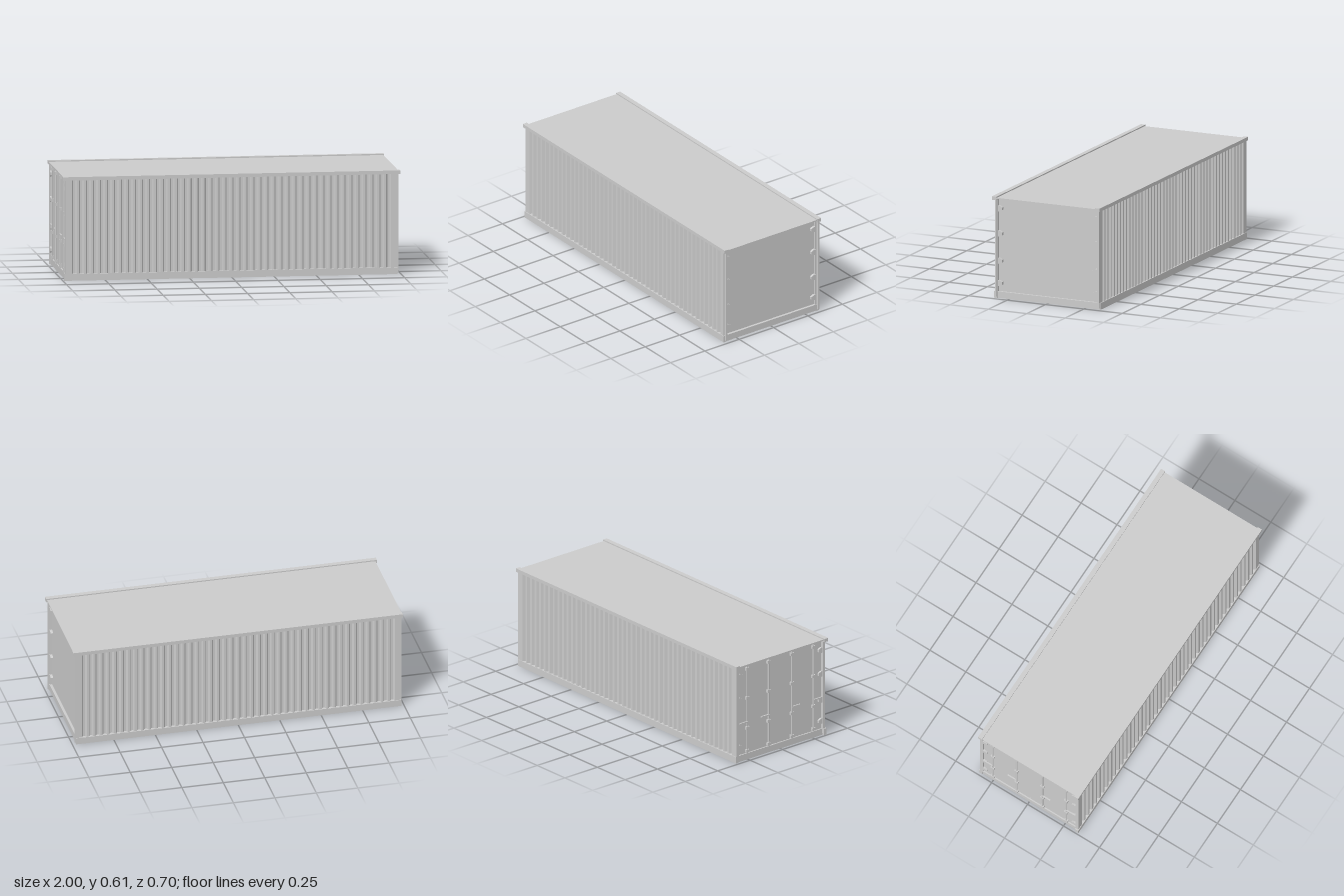
import * as THREE from 'three';

const material = new THREE.MeshStandardMaterial({ color: 0xcccccc, flatShading: true });

export function createModel() {
  const model = new THREE.Group();
  model.name = 'shippingContainer';

  const add = (name, geometry) => {
    const mesh = new THREE.Mesh(geometry, material);
    mesh.name = name;
    model.add(mesh);
    return mesh;
  };
  // Box given by its minimum and maximum along each axis
  const box = (name, x0, x1, y0, y1, z0, z1) => {
    const mesh = add(name, new THREE.BoxGeometry(x1 - x0, y1 - y0, z1 - z0));
    mesh.position.set((x0 + x1) / 2, (y0 + y1) / 2, (z0 + z1) / 2);
    return mesh;
  };

  // Floor and sills
  box('floor', -0.98, 0.975, 0.001, 0.04, -0.335, 0.335);
  box('frontBottomRail', -0.992, 0.978, 0, 0.04, 0.325, 0.347);
  box('backBottomRail', -0.985, 0.978, 0, 0.04, -0.347, -0.325);

  // Roof sheet between raised top rails
  box('roof', -0.99, 0.99, 0.6, 0.607, -0.335, 0.335);
  box('frontTopRail', -1, 0.995, 0.593, 0.614, 0.323, 0.352);
  box('backTopRail', -0.992, 0.995, 0.593, 0.614, -0.35, -0.322);

  // Corrugated side walls: a zigzag strip extruded upwards
  const ribs = 46, outer = 0.343, inner = 0.329, start = -0.95, end = 0.95;
  const pitch = (end - start) / ribs;
  for (const side of [-1, 1]) {
    const shape = new THREE.Shape();
    shape.moveTo(-0.983, side * 0.322);
    shape.lineTo(-0.983, side * outer);
    for (let i = 0; i < ribs; i++) {
      const x = start + i * pitch;
      shape.lineTo(x + pitch * 0.1, side * outer);
      shape.lineTo(x + pitch * 0.3, side * inner);
      shape.lineTo(x + pitch * 0.6, side * inner);
      shape.lineTo(x + pitch * 0.8, side * outer);
    }
    shape.lineTo(0.972, side * outer);
    shape.lineTo(0.972, side * 0.322);
    const wall = new THREE.ExtrudeGeometry(shape, { depth: 0.565, bevelEnabled: false });
    wall.rotateX(-Math.PI / 2);
    add(side < 0 ? 'frontCorrugatedWall' : 'backCorrugatedWall', wall).position.y = 0.035;
  }

  // Plain end panel, recessed behind its posts
  box('endPanel', 0.95, 0.96, 0.035, 0.602, -0.33, 0.33);
  box('frontEndPost', 0.965, 0.985, 0.01, 0.596, 0.326, 0.337);
  box('backEndPost', 0.965, 0.985, 0.01, 0.596, -0.343, -0.333);

  // Door end: two leaves, edge posts and header
  for (const side of [-1, 1]) {
    box('door', -0.972, -0.962, 0.04, 0.6, side > 0 ? 0.002 : -0.325, side > 0 ? 0.325 : -0.002);
    box('doorPost', -0.985, -0.965, 0.01, 0.596, side > 0 ? 0.323 : -0.34, side > 0 ? 0.34 : -0.323);
  }
  box('doorSeal', -0.968, -0.96, 0.04, 0.6, -0.004, 0.004);

  // Tapered hinges on both ends, pointing inwards from the posts
  const hingeShape = new THREE.Shape([
    [0, -0.017], [0.014, -0.017], [0.032, -0.008],
    [0.032, 0.008], [0.014, 0.017], [0, 0.017],
  ].map(([x, y]) => new THREE.Vector2(x, y)));
  const hingeGeometry = new THREE.ExtrudeGeometry(hingeShape, { depth: 0.016, bevelEnabled: false });
  hingeGeometry.translate(0, 0, -0.008);
  for (const x of [-0.975, 0.967]) {
    for (const y of [0.09, 0.224, 0.389, 0.54]) {
      for (const side of [-1, 1]) {
        const hinge = add('hinge', hingeGeometry);
        hinge.position.set(x, y, side * 0.326);
        hinge.rotation.y = side * Math.PI / 2;
      }
    }
  }

  // Locking bars with brackets and handles on the doors
  const barGeometry = new THREE.CylinderGeometry(0.005, 0.005, 0.56, 8);
  for (const z of [-0.255, -0.09, 0.09, 0.255]) {
    add('lockingBar', barGeometry).position.set(-0.979, 0.318, z);
    for (const y of [0.055, 0.2, 0.39, 0.575]) {
      box('barBracket', -0.986, -0.97, y - 0.009, y + 0.009, z - 0.012, z + 0.012);
    }
    const reach = Math.sign(z) * 0.06;
    box('barHandle', -0.986, -0.978, 0.236, 0.244, Math.min(z, z + reach), Math.max(z, z + reach));
  }

  return model;
}
